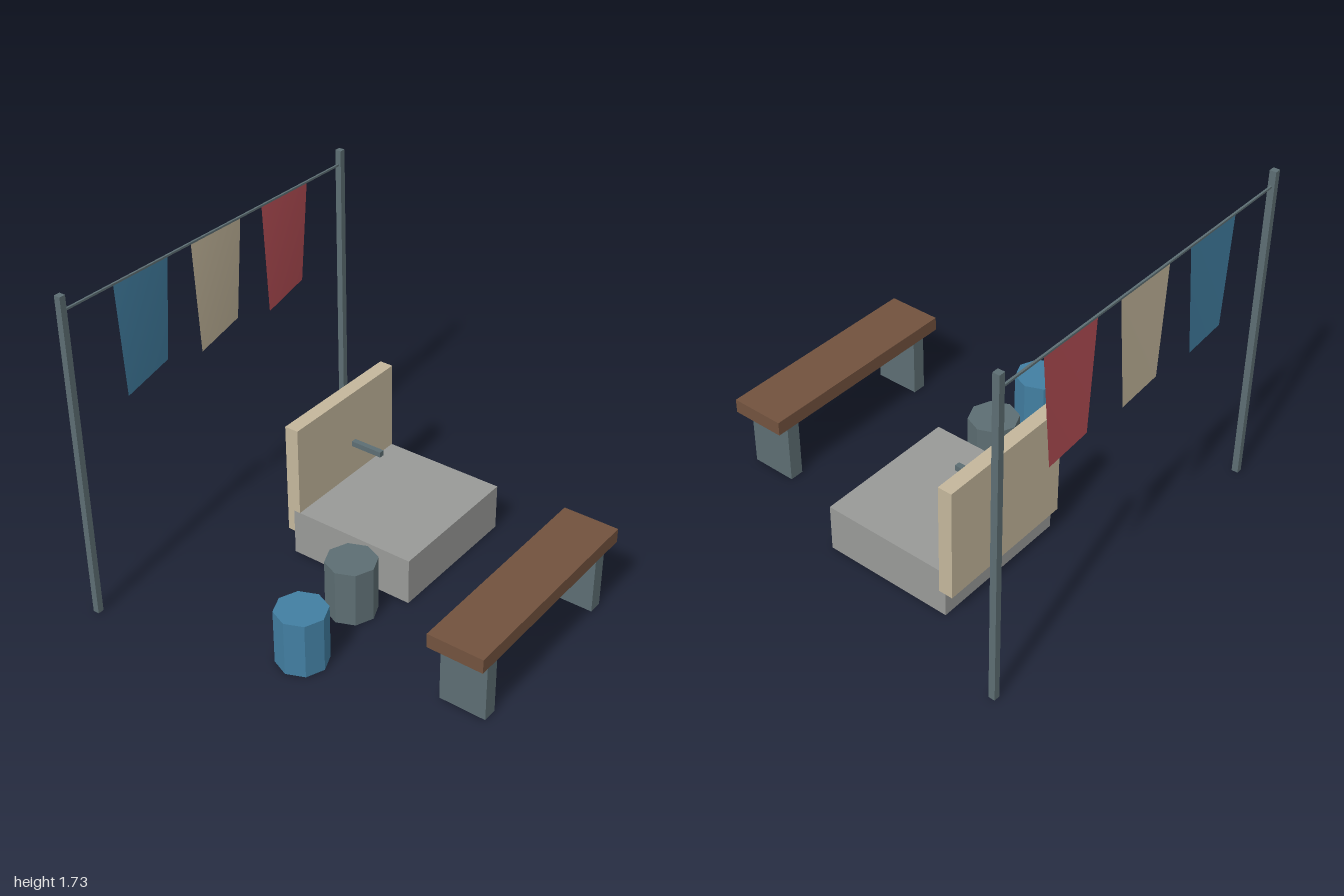
import * as THREE from 'three';

const mat = (name, color, extra = {}) => {
  const m = new THREE.MeshStandardMaterial({ color, ...extra });
  m.name = name;
  return m;
};

export function createModel() {
  const root = new THREE.Group();
  root.name = 'washYard';
  const metal = mat('slateGrey', 0x5d6e73);
  const stone = mat('stoneGrey', 0x999a98);
  const cream = mat('cream', 0xc4b79c);
  const wood = mat('brownWood', 0x72523e);
  const blue = mat('blue', 0x427fa2);
  const red = mat('red', 0xb54e55);

  const add = (name, geometry, material, parent = root) => {
    const mesh = new THREE.Mesh(geometry, material);
    mesh.name = name;
    parent.add(mesh);
    return mesh;
  };
  // Box given by its extents on each axis
  const box = (name, material, [x0, x1], [y0, y1], [z0, z1], parent) =>
    add(name, new THREE.BoxGeometry(x1 - x0, y1 - y0, z1 - z0), material, parent)
      .position.set((x0 + x1) / 2, (y0 + y1) / 2, (z0 + z1) / 2);

  // Clothes line: two posts and a rope
  const line = new THREE.Group();
  line.name = 'clothesLine';
  root.add(line);
  const lineZ = -0.967;
  box('leftPost', metal, [0.967, 1], [0, 1.733], [lineZ - 0.017, lineZ + 0.017], line);
  box('rightPost', metal, [-1, -0.967], [0, 1.733], [lineZ - 0.017, lineZ + 0.017], line);
  box('rope', metal, [-0.98, 0.98], [1.649, 1.659], [lineZ - 0.005, lineZ + 0.005], line);

  // Hanging cloths: tapered sheets with one lower corner blown back
  [['blueCloth', blue], ['creamCloth', cream], ['redCloth', red]].forEach(([name, base], i) => {
    const sheet = base.clone();
    sheet.name = base.name;
    const g = new THREE.PlaneGeometry(1, 1);
    const p = g.attributes.position;
    p.setXYZ(0, -0.177, 1.652, lineZ);
    p.setXYZ(1, 0.177, 1.652, lineZ);
    p.setXYZ(2, -0.16, 1.067, lineZ + 0.011);
    p.setXYZ(3, 0.155, 1.103, lineZ - 0.03);
    g.computeVertexNormals();
    base.side = THREE.DoubleSide;
    add(name, g, base, line).position.x = -0.493 + i * 0.512;
  });

  // Basin block with back panel and spout
  const basin = new THREE.Group();
  basin.name = 'basin';
  root.add(basin);
  box('basinBlock', stone, [-0.042, 0.744], [0, 0.256], [-0.493, 0.216], basin);
  box('backPanel', cream, [-0.042, 0.744], [0.13, 0.743], [-0.532, -0.456], basin);
  box('spout', metal, [0.336, 0.365], [0.476, 0.505], [-0.412, -0.234], basin);

  // Bench
  const bench = new THREE.Group();
  bench.name = 'bench';
  root.add(bench);
  box('benchSeat', wood, [-0.588, 0.588], [0.342, 0.418], [0.698, 0.995], bench);
  box('benchLegLeft', metal, [0.434, 0.51], [0, 0.342], [0.722, 0.971], bench);
  box('benchLegRight', metal, [-0.51, -0.434], [0, 0.342], [0.722, 0.971], bench);

  // Octagonal barrels
  const barrel = new THREE.CylinderGeometry(0.132, 0.132, 0.3, 8).toNonIndexed();
  barrel.computeVertexNormals();
  add('blueBarrel', barrel, blue).position.set(-0.67, 0.15, 0.056);
  add('greyBarrel', barrel, metal).position.set(-0.238, 0.15, 0.018);

  return root;
}
